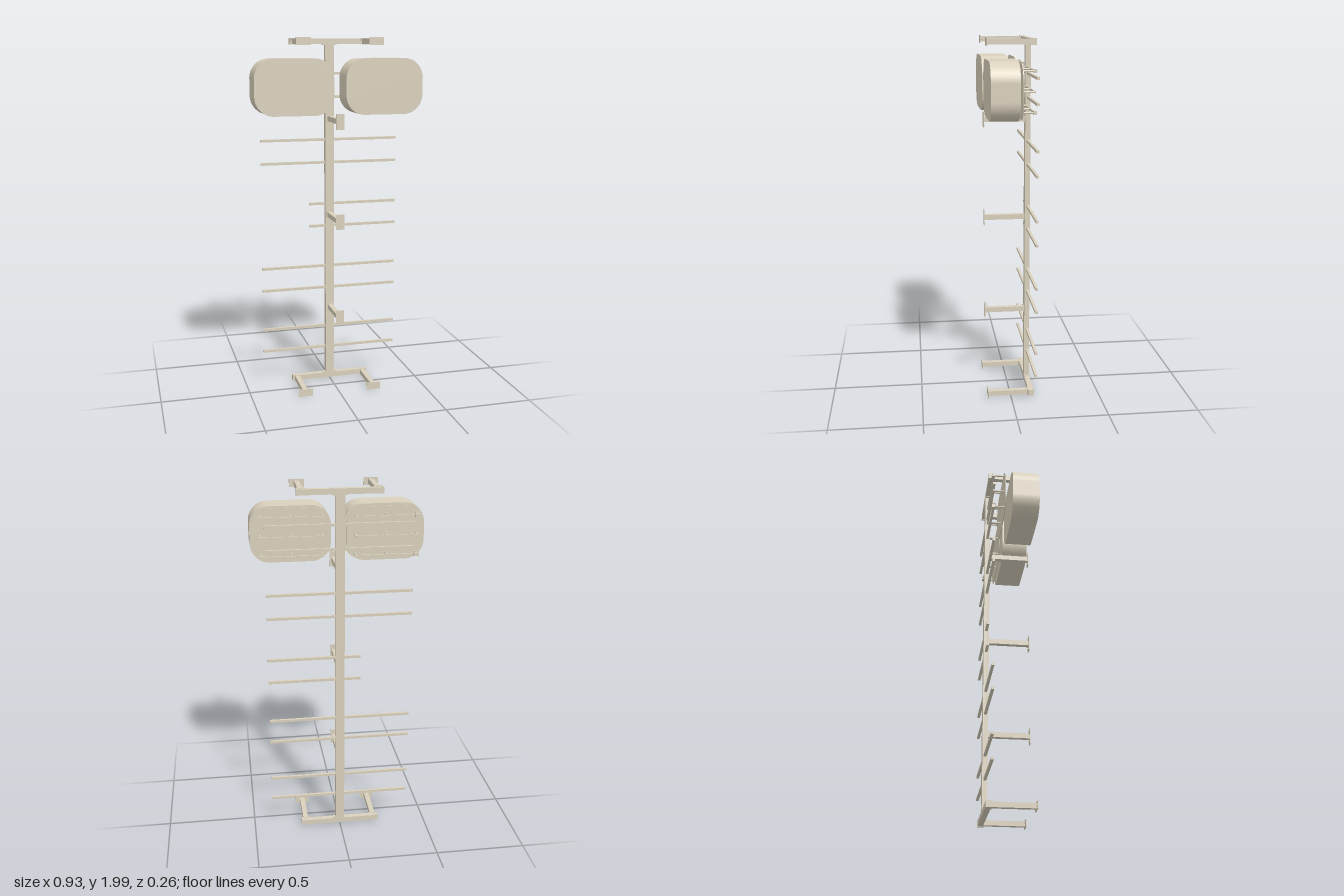
import * as THREE from 'three';

const material = new THREE.MeshStandardMaterial({ color: 0xd9d0bc });

export function createModel() {
  const root = new THREE.Group();

  // Box given by its min and max on each axis
  function block(name, x0, x1, y0, y1, z0, z1, parent = root) {
    const mesh = new THREE.Mesh(new THREE.BoxGeometry(x1 - x0, y1 - y0, z1 - z0), material);
    mesh.position.set((x0 + x1) / 2, (y0 + y1) / 2, (z0 + z1) / 2);
    mesh.name = name;
    parent.add(mesh);
    return mesh;
  }

  // Upright rounded slab, extruded along z
  function roundedSlab(name, cx, cy, w, h, r, z0, z1, parent) {
    const s = new THREE.Shape();
    const a = w / 2 - r, b = h / 2 - r;
    s.absarc(a, b, r, 0, Math.PI / 2);
    s.absarc(-a, b, r, Math.PI / 2, Math.PI);
    s.absarc(-a, -b, r, Math.PI, Math.PI * 1.5);
    s.absarc(a, -b, r, Math.PI * 1.5, Math.PI * 2);
    s.closePath();
    const geometry = new THREE.ExtrudeGeometry(s, { depth: z1 - z0, bevelEnabled: false, curveSegments: 16 });
    const mesh = new THREE.Mesh(geometry, material);
    mesh.position.set(cx, cy, z0);
    mesh.name = name;
    parent.add(mesh);
  }

  // Short round bar along z
  function pin(name, x, y, z0, z1, r, parent) {
    const geometry = new THREE.CylinderGeometry(r, r, z1 - z0, 12).rotateX(Math.PI / 2);
    const mesh = new THREE.Mesh(geometry, material);
    mesh.position.set(x, y, (z0 + z1) / 2);
    mesh.name = name;
    parent.add(mesh);
  }

  // Horizontal arm with a wall plate in front, a flange behind and bolts
  function wallArm(x, y, plateW, plateH) {
    const arm = new THREE.Group();
    arm.name = 'wallArm';
    block('armTube', x - 0.014, x + 0.014, y - 0.014, y + 0.014, -0.1, 0.128, arm);
    block('wallPlate', x - plateW / 2, x + plateW / 2, y - plateH / 2, y + plateH / 2, 0.126, 0.13, arm);
    block('armFlange', x - 0.022, x + 0.022, y - 0.018, y + 0.018, -0.1, -0.096, arm);
    const wide = plateW > plateH;
    for (const s of [-1, 1]) {
      const bx = wide ? x + s * (plateW / 2 - 0.012) : x;
      const by = wide ? y : y + s * (plateH / 2 - 0.012);
      pin('plateBolt', bx, by, 0.122, 0.13, 0.005, arm);
    }
    root.add(arm);
  }

  // Central post and the two end crossbars
  block('post', -0.025, 0.025, 0.045, 1.965, -0.129, -0.1);
  for (const y of [0.027, 1.979]) {
    block('crossbar', -0.215, 0.215, y - 0.015, y + 0.015, -0.129, -0.1);
    for (const s of [-1, 1]) {
      block('crossbarCap', s * 0.22 - 0.006, s * 0.22 + 0.006, y - 0.017, y + 0.017, -0.13, -0.098);
      wallArm(s * 0.2, y, 0.08, 0.042);
    }
    const jointY = y < 1 ? 0.043 : 1.963;
    block('postJoint', -0.04, 0.04, jointY - 0.003, jointY + 0.003, -0.128, -0.101);
  }

  // Single arms along the post
  for (const y of [0.455, 1.005, 1.555]) wallArm(0, y, 0.046, 0.085);

  // Thin rungs in pairs; one pair is short on its right side
  for (const y of [0.27, 0.635, 1.003, 1.371, 1.74]) {
    const left = y === 1.003 ? -0.115 : -0.395;
    for (const dy of [-0.065, 0.065])
      block('rung', left, 0.395, y + dy - 0.007, y + dy + 0.007, -0.122, -0.108);
  }

  // Rounded drums, each with a back panel carried on bars and standoffs
  for (const side of [-1, 1]) {
    const unit = new THREE.Group();
    unit.name = side < 0 ? 'rightDrumUnit' : 'leftDrumUnit';
    const cx = side * 0.249, cy = 1.74;
    const panelZ = side < 0 ? -0.06 : -0.035;
    const barZ = panelZ - 0.06;
    roundedSlab('drum', cx, cy, 0.43, 0.3, 0.105, -0.018, 0.13, unit);
    roundedSlab('backPanel', cx, cy, 0.416, 0.286, 0.1, panelZ, panelZ + 0.004, unit);
    for (const dy of [-0.103, 0, 0.103]) {
      const y = cy + dy;
      block('carrierBar', cx - 0.17, cx + 0.17, y - 0.005, y + 0.005, barZ - 0.004, barZ + 0.004, unit);
      for (const dx of [-0.162, 0, 0.162])
        pin('standoff', cx + dx, y, barZ, panelZ, 0.005, unit);
      if (dy !== 0) {
        const x = side * 0.405;
        block('barClamp', x - 0.014, x + 0.014, y - 0.009, y + 0.009, barZ - 0.01, barZ + 0.006, unit);
      }
    }
    root.add(unit);
  }

  return root;
}
